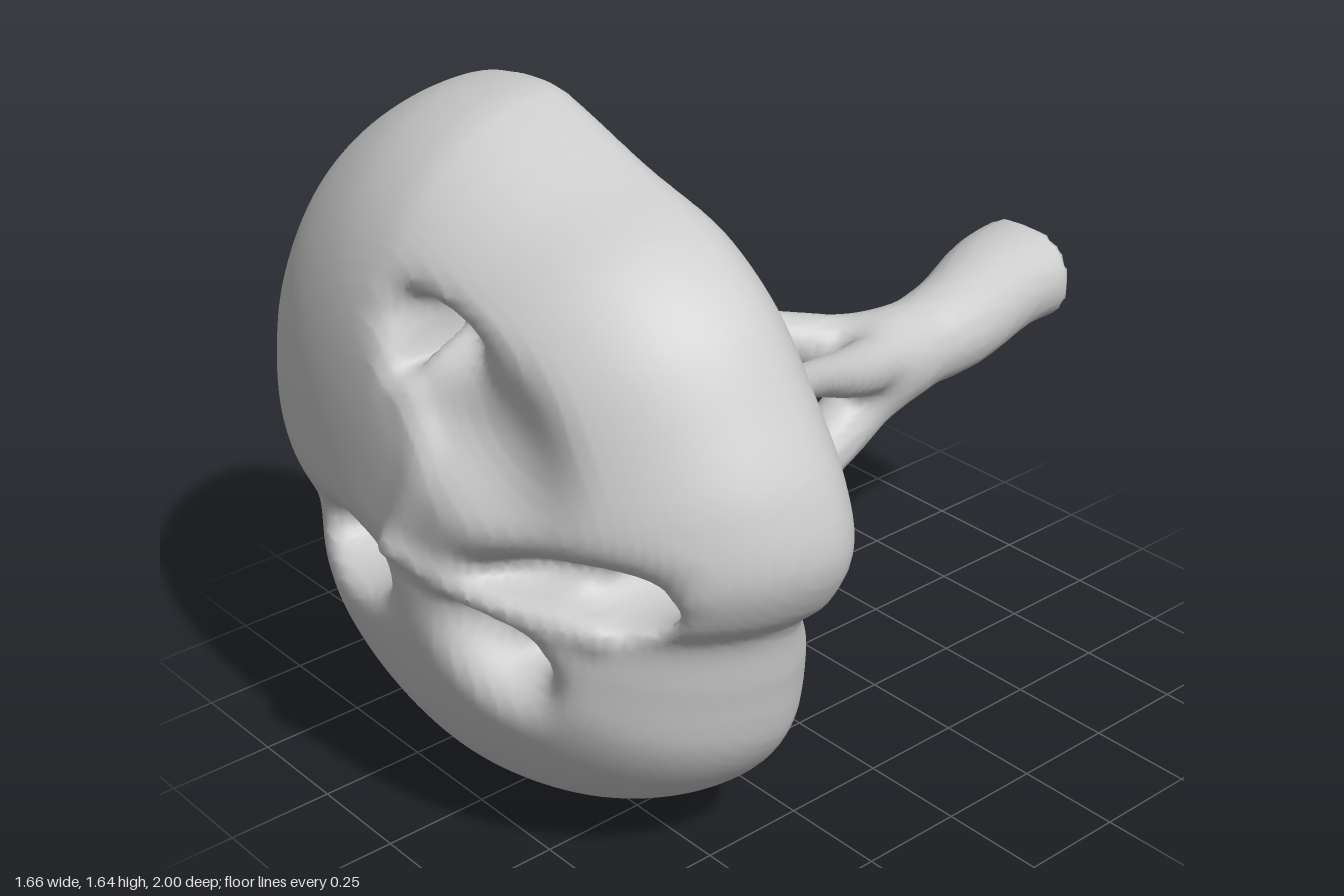
import * as THREE from 'three';

// Outline of the head in the xy plane, around the centre (0, 0.8)
const OUTLINE = [
  [0, 1.635], [0.25, 1.53], [0.45, 1.45], [0.6, 1.33], [0.72, 1.15], [0.8, 1.0], [0.83, 0.85],
  [0.78, 0.73], [0.7, 0.65], [0.67, 0.5], [0.63, 0.33], [0.52, 0.19], [0.35, 0.08], [0.17, 0.02],
  [0, 0], [-0.2, 0.03], [-0.4, 0.11], [-0.54, 0.22], [-0.62, 0.38], [-0.64, 0.58], [-0.69, 0.64],
  [-0.8, 0.75], [-0.83, 0.87], [-0.78, 1.1], [-0.7, 1.25], [-0.58, 1.4], [-0.43, 1.52],
  [-0.25, 1.61], [-0.08, 1.64],
];
const CY = 0.8, BINS = 360;

// Outline radius per degree
function radiusTable() {
  const table = new Float32Array(BINS);
  const curve = new THREE.CatmullRomCurve3(OUTLINE.map(([x, y]) => new THREE.Vector3(x, y - CY, 0)), true);
  for (const p of curve.getPoints(4000)) {
    const bin = Math.round((Math.atan2(p.y, p.x) / (2 * Math.PI) + 1) * BINS) % BINS;
    table[bin] = Math.hypot(p.x, p.y);
  }
  return table;
}
const RADII = radiusTable();
function outlineRadius(x, y) {
  const t = (Math.atan2(y, x) / (2 * Math.PI) + 1) * BINS, i = Math.floor(t);
  return THREE.MathUtils.lerp(RADII[i % BINS], RADII[(i + 1) % BINS], t - i);
}

// Smooth blending of distance fields
function join(a, b, k) {
  const h = Math.max(k - Math.abs(a - b), 0) / k;
  return Math.min(a, b) - h * h * k * 0.25;
}
const carve = (a, b, k) => -join(-a, b, k);

function ellipsoid(x, y, z, [cx, cy, cz, sx, sy, sz, tilt]) {
  const c = Math.cos(tilt), s = Math.sin(tilt), dx = x - cx, dy = y - cy;
  const px = (c * dx + s * dy) / sx, py = (c * dy - s * dx) / sy, pz = (z - cz) / sz;
  const k0 = Math.hypot(px, py, pz), k1 = Math.hypot(px / sx, py / sy, pz / sz);
  return k1 < 1e-6 ? -Math.min(sx, sy, sz) : k0 * (k0 - 1) / k1;
}

// Tapered rod between two points [x, y, z, radius]
function rod(x, y, z, a, b) {
  const bx = b[0] - a[0], by = b[1] - a[1], bz = b[2] - a[2];
  const px = x - a[0], py = y - a[1], pz = z - a[2];
  const t = Math.min(1, Math.max(0, (px * bx + py * by + pz * bz) / (bx * bx + by * by + bz * bz)));
  return Math.hypot(px - bx * t, py - by * t, pz - bz * t) - a[3] - (b[3] - a[3]) * t;
}
function path(x, y, z, points) {
  let d = 9;
  for (let i = 1; i < points.length; i++) d = Math.min(d, rod(x, y, z, points[i - 1], points[i]));
  return d;
}
// Rounds a path of [x, y, z, radius] points into a curve
function smoothPath(points) {
  const curve = new THREE.CatmullRomCurve3(points.map((p) => new THREE.Vector3(p[0], p[1], p[2])));
  const radius = new THREE.SplineCurve(points.map((p, i) => new THREE.Vector2(i, p[3])));
  const count = (points.length - 1) * 4;
  return Array.from({ length: count + 1 }, (_, i) => [...curve.getPoint(i / count).toArray(), radius.getPoint(i / count).y]);
}

// Sunken areas of the face
const DENTS = [
  [0.33, 1.1, 1.0, 0.25, 0.17, 0.16, -0.5],
  [0.13, 1.25, 0.95, 0.11, 0.045, 0.16, -0.3],
  [0.52, 0.8, 0.95, 0.27, 0.07, 0.22, 0.12],
  [0.3, 0.58, 0.95, 0.14, 0.09, 0.16, -0.6],
  [-0.2, 0.64, 0.98, 0.17, 0.08, 0.18, 0.1],
];
// Openings that run right through
const OPENINGS = [
  [-0.195, 0.625, 0.6, 0.135, 0.06, 40, 0.12],
  [0.545, 0.77, 0.6, 0.105, 0.055, 40, 0.1],
  [0.32, 0.575, 0.6, 0.045, 0.03, 40, 0.2],
  [0.06, 1.22, 0.6, 0.02, 0.06, 40, 0],
];
// Ridges that meet in the pointed middle of the face
const RIDGES = [
  [[0.05, 0.77, 0.975, 0.022], [0.25, 0.72, 0.92, 0.025], [0.5, 0.69, 0.8, 0.025]],
  [[0.05, 0.77, 0.97, 0.022], [0.13, 0.98, 0.93, 0.03], [0.08, 1.1, 0.92, 0.03]],
].map(smoothPath);
// Stem and its branches
const STEM = [
  [[-0.05, 0.81, -1.1, 0.115], [-0.03, 0.81, -0.9, 0.11], [0.06, 0.785, -0.65, 0.105], [0.08, 0.765, -0.4, 0.085]],
  [[0.035, 0.81, -1.1, 0.115], [0.045, 0.81, -0.9, 0.11], [0.09, 0.785, -0.65, 0.1], [0.08, 0.765, -0.4, 0.085]],
  [[0.07, 0.78, -0.45, 0.075], [-0.05, 0.835, -0.22, 0.065], [-0.2, 0.92, 0.01, 0.042]],
  [[-0.2, 0.92, 0.01, 0.04], [-0.38, 0.955, 0.19, 0.036], [-0.6, 1.01, 0.42, 0.06]],
  [[-0.2, 0.92, 0.01, 0.034], [-0.18, 1.13, 0.27, 0.03], [-0.2, 1.3, 0.5, 0.05]],
  [[0.1, 0.78, -0.45, 0.075], [0.2, 0.845, -0.2, 0.06], [0.31, 0.94, 0.02, 0.043], [0.44, 1.03, 0.24, 0.042], [0.52, 1.06, 0.42, 0.07]],
  [[0.09, 0.755, -0.45, 0.075], [0.12, 0.66, -0.24, 0.075], [0.14, 0.585, -0.1, 0.058], [0.15, 0.53, 0.03, 0.044]],
  [[0.15, 0.53, 0.03, 0.04], [0.18, 0.42, 0.24, 0.042], [0.22, 0.32, 0.42, 0.06]],
  [[0.15, 0.53, 0.03, 0.034], [-0.06, 0.49, 0.25, 0.032], [-0.17, 0.4, 0.5, 0.05]],
].map(smoothPath);

// Domed head: full at the front, thick rounded rim at the back, creased between its two lobes
function head(x, y, z) {
  const dy = y - CY, r = Math.hypot(x, dy), rho = r / outlineRadius(x, dy);
  const crease = Math.exp(-(((dy + 0.12) / 0.1) ** 2)) * THREE.MathUtils.smoothstep(r, 0.3, 0.6);
  const dz = z - 0.45 - 0.04 * dy;
  const back = 0.15 + 0.08 * THREE.MathUtils.smoothstep(Math.abs(x), 0, 0.45) - 0.08 * crease;
  const fullness = 2.3 + 0.6 * (dy * dy) / (r * r + 1e-6);
  let d = dz > 0
    ? (Math.sqrt(rho ** fullness + (dz / 0.52) ** 2) - 1) * 0.58
    : (Math.sqrt(rho ** 3.2 + (dz / back) ** 2) - 1) * 0.25;
  // funnel-shaped hollow behind the face
  const depth = Math.abs(z - 0.2) / 0.58;
  const hollow = ((rho / 0.64) ** 1.5 + depth ** 1.5) ** (1 / 1.5) - 1;
  d = carve(d, hollow * 0.4, 0.14);
  for (const e of DENTS) d = carve(d, ellipsoid(x, y, z, e), 0.09);
  for (const e of OPENINGS) d = carve(d, ellipsoid(x, y, z, e), 0.05);
  for (const ridge of RIDGES) d = join(d, path(x, y, z, ridge), 0.04);
  return d;
}

function field(x, y, z) {
  let stem = 9;
  for (const s of STEM) stem = join(stem, path(x, y, z, s), 0.06);
  const d = z < 0.05 ? stem : join(head(x, y, z), stem, 0.1);
  return Math.max(d, -1 - z); // flat cut end of the stem
}

// Skins the zero level of a field: one vertex per crossed cell, one quad per crossed edge
function skin(f, min, max, h) {
  const n = min.map((m, i) => Math.ceil((max[i] - m) / h) + 1);
  const step = [1, n[0], n[0] * n[1]], total = n[0] * n[1] * n[2];
  const values = new Float32Array(total), ids = new Int32Array(total).fill(-1);
  const each = (from, to, fn) => {
    for (let k = from; k < n[2] - to; k++)
      for (let j = from; j < n[1] - to; j++)
        for (let i = from; i < n[0] - to; i++) fn([i, j, k], i + j * step[1] + k * step[2]);
  };
  each(0, 0, ([i, j, k], at) => { values[at] = f(min[0] + i * h, min[1] + j * h, min[2] + k * h); });

  const positions = [], indices = [];
  each(0, 1, (cell, at) => {
    const sum = [0, 0, 0];
    let count = 0;
    for (let c = 0; c < 8; c++) {
      const o = [c & 1, (c >> 1) & 1, c >> 2];
      const corner = at + o[0] + o[1] * step[1] + o[2] * step[2], a = values[corner];
      for (let axis = 0; axis < 3; axis++) {
        if (o[axis]) continue;
        const b = values[corner + step[axis]];
        if ((a < 0) === (b < 0)) continue;
        for (let q = 0; q < 3; q++) sum[q] += o[q] + (q === axis ? a / (a - b) : 0);
        count++;
      }
    }
    if (!count) return;
    ids[at] = positions.length / 3;
    for (let q = 0; q < 3; q++) positions.push(min[q] + (cell[q] + sum[q] / count) * h);
  });
  each(1, 1, (cell, at) => {
    for (let axis = 0; axis < 3; axis++) {
      const inside = values[at] < 0;
      if (inside === (values[at + step[axis]] < 0)) continue;
      const b = step[(axis + 1) % 3], c = step[(axis + 2) % 3];
      const [p, q, r, s] = [at - b - c, at - c, at, at - b].map((v) => ids[v]);
      if (inside) indices.push(p, q, r, p, r, s);
      else indices.push(p, r, q, p, s, r);
    }
  });
  const geometry = new THREE.BufferGeometry();
  geometry.setAttribute('position', new THREE.Float32BufferAttribute(positions, 3));
  geometry.setIndex(indices);
  geometry.computeVertexNormals();
  return geometry;
}

export function createModel() {
  const group = new THREE.Group();
  group.name = 'hollowHeadOnBranchingStem';
  const material = new THREE.MeshStandardMaterial({ color: 0xcccccc });
  const mesh = new THREE.Mesh(skin(field, [-0.91, -0.06, -1.05], [0.91, 1.72, 1.07], 0.0178), material);
  mesh.name = 'headAndStem';
  group.add(mesh);
  return group;
}
